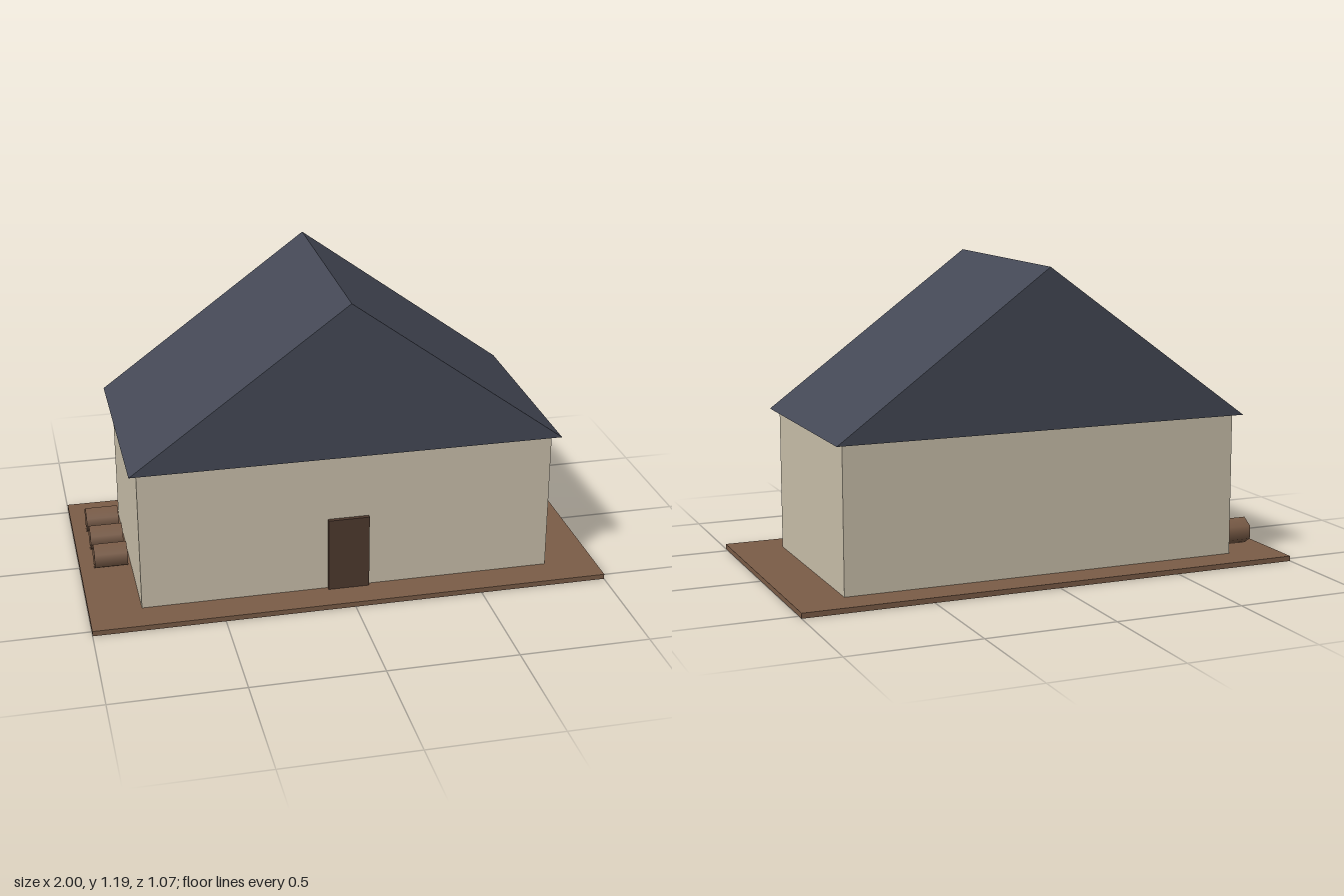
import * as THREE from 'three';

const mat = (name, color) => Object.assign(new THREE.MeshStandardMaterial({ color }), { name });

export function createModel() {
  const group = new THREE.Group();
  const wood = mat('brownWood', 0x7a5c47);
  const plaster = mat('beigePlaster', 0xc9bfaa);
  const slate = mat('slateBlue', 0x444855);
  const darkWood = mat('darkWood', 0x4e392e);

  const add = (name, geometry, material, x, y, z) => {
    const mesh = new THREE.Mesh(geometry, material);
    mesh.name = name;
    mesh.position.set(x, y, z);
    group.add(mesh);
  };

  // Ground slab, walls and door
  add('base', new THREE.BoxGeometry(2, 0.02, 1.066), wood, 0, 0.01, 0);
  add('walls', new THREE.BoxGeometry(1.6, 0.562, 0.8), plaster, 0, 0.301, 0);
  add('door', new THREE.BoxGeometry(0.16, 0.295, 0.016), darkWood, 0, 0.1675, 0.408);

  // Gabled roof: a triangular prism with its ridge along z
  const gable = new THREE.Shape([
    new THREE.Vector2(-0.83, 0),
    new THREE.Vector2(0.83, 0),
    new THREE.Vector2(0, 0.608),
  ]);
  const roof = new THREE.ExtrudeGeometry(gable, { depth: 0.866, bevelEnabled: false });
  add('roof', roof, slate, 0, 0.582, -0.433);

  // Six-sided logs lying beside the house, one corner pointing up
  const log = new THREE.CylinderGeometry(0.0535, 0.0535, 0.13, 6);
  log.rotateY(Math.PI / 2).rotateZ(Math.PI / 2);
  for (let i = 0; i < 3; i++) add(`log${i + 1}`, log, wood, -0.88, 0.0735, -0.27 + i * 0.16);

  return group;
}
